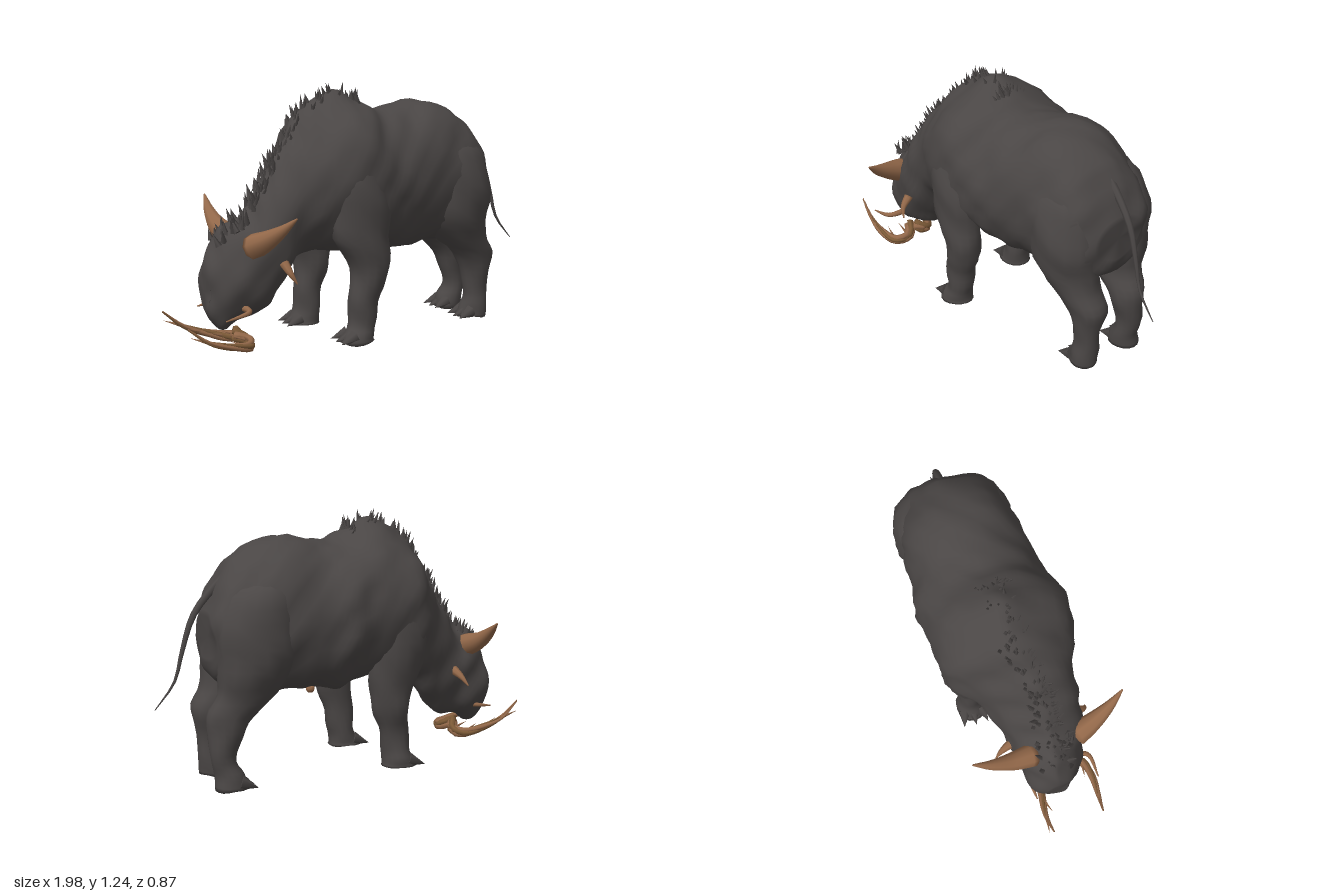
import * as THREE from 'three';

const hide = new THREE.MeshStandardMaterial({ color: 0x4a4645 });
hide.name = 'dark hide';
const horn = new THREE.MeshStandardMaterial({ color: 0x94694a });
horn.name = 'horn';
const oldHorn = new THREE.MeshStandardMaterial({ color: 0x7c5a37 });
oldHorn.name = 'weathered tusk';

let seed = 7;
const rnd = () => (seed = (seed * 16807) % 2147483647) / 2147483647;
const V = (a) => new THREE.Vector3(...a);

// Smoothly subdivides a table of cross-sections
function refine(rows, n) {
  const out = [];
  const at = (i) => rows[Math.min(Math.max(i, 0), rows.length - 1)];
  for (let i = 0; i < rows.length - 1; i++) {
    for (let k = 0; k < n; k++) {
      const t = k / n;
      out.push(at(i).map((b, j) => {
        const a = at(i - 1)[j], c = at(i + 1)[j], d = at(i + 2)[j];
        return b + 0.5 * t * (c - a + t * (2 * a - 5 * b + 4 * c - d + t * (3 * (b - c) + d - a)));
      }));
    }
  }
  out.push(rows[rows.length - 1]);
  return out;
}

// Skins closed rings, caps both ends and turns the faces outwards
function loft(rings) {
  const n = rings[0].length, pos = [], idx = [];
  rings.forEach((r) => r.forEach((p) => pos.push(p.x, p.y, p.z)));
  for (let i = 0; i < rings.length - 1; i++) {
    for (let j = 0; j < n; j++) {
      const a = i * n + j, b = i * n + ((j + 1) % n);
      idx.push(a, b, a + n, b, b + n, a + n);
    }
  }
  [0, rings.length - 1].forEach((i) => {
    const c = rings[i].reduce((s, p) => s.add(p), new THREE.Vector3()).divideScalar(n);
    const k = pos.length / 3;
    pos.push(c.x, c.y, c.z);
    for (let j = 0; j < n; j++) {
      const a = i * n + j, b = i * n + ((j + 1) % n);
      if (i) idx.push(a, b, k); else idx.push(b, a, k);
    }
  });
  const p = (i) => new THREE.Vector3(pos[i * 3], pos[i * 3 + 1], pos[i * 3 + 2]);
  let volume = 0;
  for (let i = 0; i < idx.length; i += 3) volume += p(idx[i]).dot(p(idx[i + 1]).cross(p(idx[i + 2])));
  if (volume < 0) idx.reverse();
  const g = new THREE.BufferGeometry();
  g.setAttribute('position', new THREE.Float32BufferAttribute(pos, 3));
  g.setIndex(idx);
  g.computeVertexNormals();
  return g;
}

// Presses muscle lumps and skin folds into a skinned form
function lumps(g, amount) {
  const p = g.attributes.position, nor = g.attributes.normal.clone();
  for (let i = 0; i < p.count; i++) {
    const x = p.getX(i), y = p.getY(i), z = p.getZ(i);
    const d = amount * (Math.sin(17 * x + 9 * y + 4 * z) * Math.sin(15 * y - 11 * z + 2)
      + 0.7 * Math.sin(38 * x + 13 * z) * Math.sin(29 * y + 21 * z));
    p.setXYZ(i, x + d * nor.getX(i), y + d * nor.getY(i), z + d * nor.getZ(i));
  }
  g.computeVertexNormals();
  return g;
}

// Curved tapering horn, tusk or tail
function taper(points, r0, r1, sides = 7, steps = 14) {
  const curve = new THREE.CatmullRomCurve3(points.map(V));
  const f = curve.computeFrenetFrames(steps, false);
  const rings = [];
  for (let i = 0; i <= steps; i++) {
    const c = curve.getPointAt(i / steps), r = r0 + (r1 - r0) * Math.pow(i / steps, 1.3);
    rings.push(Array.from({ length: sides }, (_, j) => {
      const a = (j / sides) * Math.PI * 2;
      return c.clone().addScaledVector(f.normals[i], r * Math.cos(a)).addScaledVector(f.binormals[i], r * Math.sin(a));
    }));
  }
  return loft(rings);
}

// Body from rump to muzzle: x, bottom, top, right edge, left edge
const BODY = [
  [0.73, 0.6, 0.80, -0.28, -0.02], [0.69, 0.5, 0.92, -0.34, 0.07], [0.6, 0.45, 1.05, -0.375, 0.13],
  [0.42, 0.42, 1.145, -0.405, 0.165], [0.22, 0.41, 1.118, -0.41, 0.205], [0.1, 0.41, 1.115, -0.43, 0.24],
  [0, 0.42, 1.165, -0.4, 0.275], [-0.12, 0.43, 1.195, -0.395, 0.285], [-0.28, 0.425, 1.13, -0.37, 0.25],
  [-0.38, 0.385, 1.01, -0.26, 0.23], [-0.46, 0.265, 0.91, -0.195, 0.235], [-0.53, 0.195, 0.8, -0.16, 0.23],
  [-0.6, 0.165, 0.69, -0.13, 0.215], [-0.66, 0.15, 0.63, -0.12, 0.2], [-0.74, 0.11, 0.575, -0.09, 0.17],
  [-0.795, 0.14, 0.48, -0.06, 0.13], [-0.82, 0.2, 0.38, -0.02, 0.1],
];
function bodyGeometry() {
  const rings = refine(BODY, 4).map(([x, y0, y1, z0, z1]) => Array.from({ length: 36 }, (_, j) => {
    const a = (j / 36) * Math.PI * 2, c = Math.cos(a), s = Math.sin(a);
    const hump = 0.65 * THREE.MathUtils.smoothstep(-x, -0.15, 0);
    const peak = s > 0 ? 1 - hump * s ** 5 : 1;
    return new THREE.Vector3(x, (y0 + y1) / 2 + s * (y1 - y0) / 2,
      (z0 + z1) / 2 + peak * Math.sign(c) * Math.pow(Math.abs(c), 0.9) * (z1 - z0) / 2);
  }));
  return lumps(loft(rings), 0.011);
}

// Legs: height, centre x, centre z, half length, half width
const HIND = [
  [0.98, 0.48, -0.03, 0.08, 0.07], [0.9, 0.5, 0, 0.16, 0.135], [0.72, 0.525, 0.005, 0.195, 0.16],
  [0.57, 0.53, 0.005, 0.18, 0.145], [0.45, 0.575, -0.01, 0.145, 0.11], [0.35, 0.66, -0.02, 0.11, 0.088],
  [0.25, 0.675, -0.02, 0.08, 0.072], [0.14, 0.685, -0.02, 0.062, 0.06], [0.07, 0.665, -0.02, 0.07, 0.066],
  [0.01, 0.655, -0.02, 0.08, 0.07],
];
const FORE = [
  [0.95, -0.1, 0.13, 0.08, 0.06], [0.87, -0.1, 0.17, 0.13, 0.1], [0.7, -0.09, 0.185, 0.15, 0.115],
  [0.52, -0.08, 0.19, 0.14, 0.1], [0.4, -0.045, 0.19, 0.105, 0.086], [0.3, -0.05, 0.19, 0.09, 0.078],
  [0.2, -0.07, 0.185, 0.075, 0.068], [0.1, -0.085, 0.185, 0.065, 0.064], [0.05, -0.1, 0.19, 0.08, 0.075],
  [0.01, -0.105, 0.19, 0.09, 0.08],
];
function legGeometry(rows, move) {
  const rings = refine(rows, 3).map(([y, x, z, rx, rz]) => Array.from({ length: 16 }, (_, j) => {
    const a = (j / 16) * Math.PI * 2;
    const [mx, mz] = move(x, z, y);
    return new THREE.Vector3(mx + rx * Math.cos(a), y, mz + rz * Math.sin(a));
  }));
  return lumps(loft(rings), 0.008);
}

export function createModel() {
  const model = new THREE.Group();
  const add = (name, geometry, material = hide, parent = model) => {
    const m = new THREE.Mesh(geometry, material);
    m.name = name;
    parent.add(m);
    return m;
  };
  // Cone standing at a point and aimed along a direction
  const spike = (name, base, dir, r, h, parent, sides = 4, material = hide) => {
    const g = new THREE.ConeGeometry(r, h, sides).translate(0, h / 2, 0);
    const m = add(name, g, material, parent);
    m.position.copy(V(base));
    m.quaternion.setFromUnitVectors(new THREE.Vector3(0, 1, 0), V(dir).normalize());
  };

  add('body', bodyGeometry());
  add('bellyNub', new THREE.SphereGeometry(0.022, 8, 6), horn).position.set(0.23, 0.418, -0.18);

  // Legs with clawed feet
  const legs = [
    ['leftHindLeg', HIND, (x, z) => [x, z]],
    ['rightHindLeg', HIND, (x, z, y) => [x, -0.3 - z + 0.03 * Math.min(1, y / 0.6)]],
    ['leftFrontLeg', FORE, (x, z) => [x, z]],
    ['rightFrontLeg', FORE, (x, z, y) => [x - 0.1, -0.09 - z + 0.03 * (1 - y)]],
  ];
  for (const [name, rows, move] of legs) {
    const leg = new THREE.Group();
    leg.name = name;
    model.add(leg);
    add(name + 'Limb', legGeometry(rows, move), hide, leg);
    const [y, x, z, rx] = rows[rows.length - 1];
    const [fx, fz] = move(x, z, y);
    for (let k = -1; k <= 1; k++) {
      spike('toe', [fx - rx * 0.35, 0.045, fz + k * 0.045], [-1, -0.35, k * 0.25], 0.034, 0.085, leg, 6);
    }
  }

  // Bristling mane along neck and withers
  const mane = new THREE.Group();
  mane.name = 'mane';
  model.add(mane);
  const crest = refine(BODY.slice(6, 13), 12);
  for (let i = 0; i < 110; i++) {
    const [x, , top, z0, z1] = crest[Math.floor(rnd() * crest.length)];
    const off = (rnd() - 0.5) * 0.13;
    spike('bristle', [x, top - 0.02 - off * off * 7, (z0 + z1) / 2 + off],
      [-0.5 + rnd() * 0.7, 1, off * 8 + rnd() * 0.4 - 0.2], 0.014, 0.04 + rnd() * 0.04, mane);
  }
  // Tuft on the brow
  for (let i = 0; i < 34; i++) {
    const t = rnd();
    spike('tuftSpike', [-0.77 + 0.15 * t, 0.51 + 0.11 * t, 0.05 + (rnd() - 0.5) * 0.18],
      [-0.5 + rnd() * 0.7, 1, rnd() - 0.5], 0.016, 0.05 + rnd() * 0.035, mane);
  }

  // Tail
  add('tail', taper([[0.6, 1.0, -0.148], [0.69, 0.92, -0.15], [0.785, 0.8, -0.15], [0.84, 0.64, -0.15],
    [0.88, 0.5, -0.15], [0.975, 0.38, -0.155]], 0.02, 0.002));

  // Brow horns
  add('leftHorn', taper([[-0.625, 0.51, 0.18], [-0.595, 0.55, 0.27], [-0.555, 0.605, 0.36], [-0.51, 0.67, 0.435]], 0.06, 0.004, 9), horn);
  add('rightHorn', taper([[-0.67, 0.53, -0.05], [-0.685, 0.57, -0.16], [-0.69, 0.63, -0.26], [-0.68, 0.69, -0.35]], 0.058, 0.004, 9), horn);

  // Cheek spurs
  add('leftCheekSpur', taper([[-0.49, 0.43, 0.225], [-0.475, 0.385, 0.27], [-0.45, 0.34, 0.285]], 0.023, 0.003), horn);
  add('rightCheekSpur', taper([[-0.56, 0.43, -0.12], [-0.58, 0.4, -0.18], [-0.6, 0.36, -0.22]], 0.025, 0.003), horn);

  // Short upper tusks
  add('leftUpperTusk', taper([[-0.66, 0.22, 0.14], [-0.67, 0.22, 0.24], [-0.79, 0.195, 0.265]], 0.017, 0.003), horn);
  add('rightUpperTusk', taper([[-0.68, 0.225, -0.03], [-0.73, 0.215, -0.07], [-0.82, 0.2, -0.065]], 0.016, 0.003), horn);

  // Long lower tusks, each a bundle of twisted strands with splinters
  const tusks = {
    leftLowerTusk: [[-0.7, 0.09, 0.1], [-0.64, 0.065, 0.15], [-0.66, 0.055, 0.22], [-0.75, 0.07, 0.25], [-0.86, 0.1, 0.25], [-0.96, 0.17, 0.24]],
    rightLowerTusk: [[-0.68, 0.09, 0.08], [-0.65, 0.065, 0.04], [-0.7, 0.055, -0.01], [-0.8, 0.08, -0.03], [-0.9, 0.12, -0.04], [-1, 0.2, -0.03]],
  };
  for (const [name, pts] of Object.entries(tusks)) {
    const g = new THREE.Group();
    g.name = name;
    model.add(g);
    for (let k = 0; k < 4; k++) {
      const strand = pts.slice(0, 6 - (k === 3)).map(([x, y, z], i) => {
        const a = k * 1.57 + i * 0.9, r = 0.018 * (1 - i / 6);
        return [x, y + r * Math.sin(a), z + r * Math.cos(a)];
      });
      add('tuskStrand', taper(strand, 0.018, 0.002, 6, 18), k % 2 ? oldHorn : horn, g);
    }
    for (const p of pts.slice(1, 5)) spike('splinter', p, [-1, 0.35, rnd() - 0.5], 0.01, 0.1, g, 5, horn);
  }
  return model;
}
